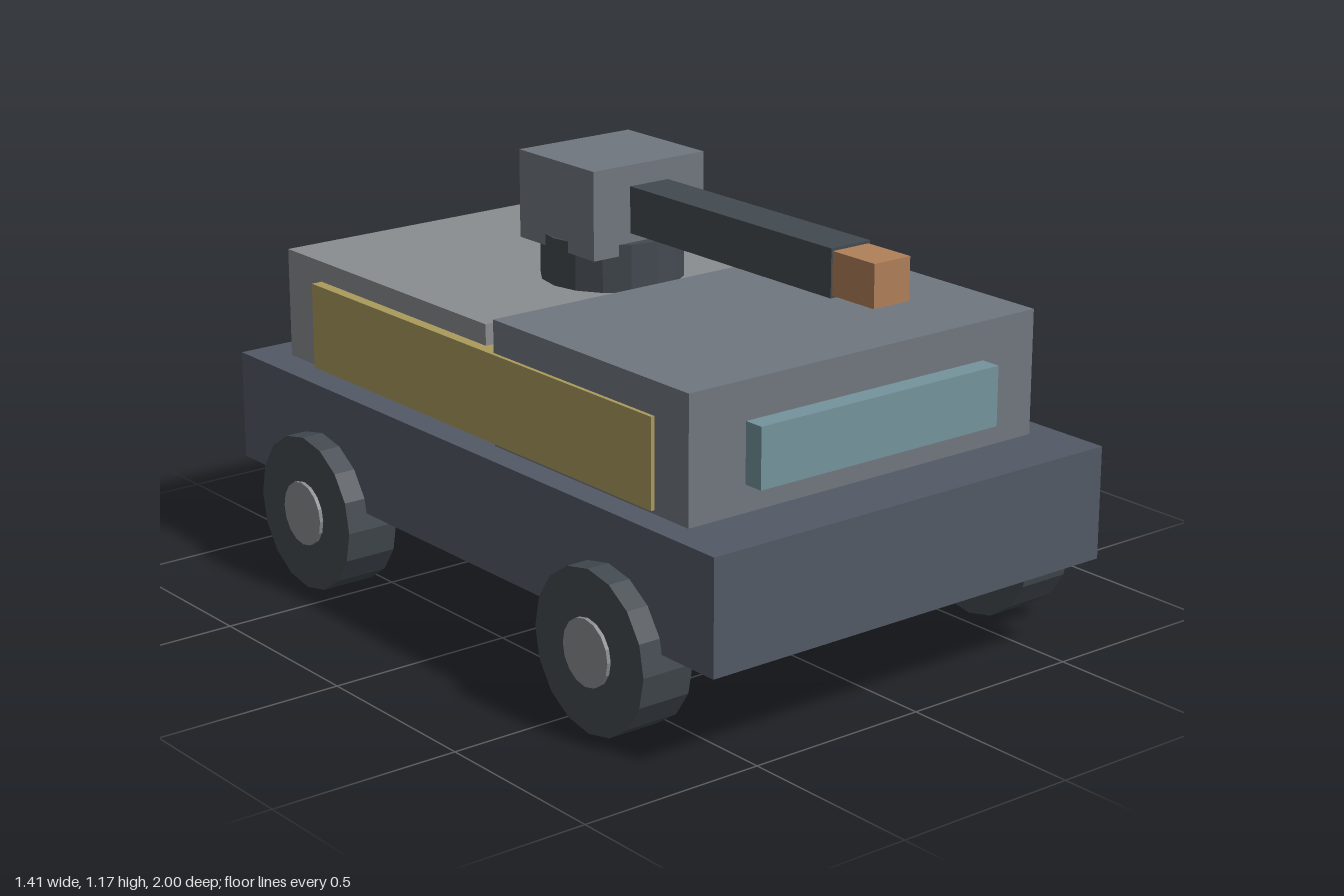
import * as THREE from 'three';

const mat = (color) => new THREE.MeshStandardMaterial({ color, flatShading: true });
const hull = mat(0x535a65), plate = mat(0x70777e), light = mat(0x8a8d8f), dark = mat(0x434a50);
const ochre = mat(0xaa9a5c), glass = mat(0x75949d), copper = mat(0xb08058);

export function createModel() {
  const model = new THREE.Group();
  model.name = 'armouredCar';

  // Body parts share one centre line, a touch right of the axles' middle
  const body = new THREE.Group();
  body.name = 'body';
  body.position.x = -0.0125;
  model.add(body);

  // Box given by width, y range and z range
  const box = (name, material, width, [y0, y1], [z0, z1], x = 0) => {
    const mesh = new THREE.Mesh(new THREE.BoxGeometry(width, y1 - y0, z1 - z0), material);
    mesh.name = name;
    mesh.position.set(x, (y0 + y1) / 2, (z0 + z1) / 2);
    body.add(mesh);
  };

  box('chassis', hull, 1.24, [0.25, 0.545], [-1, 1]);
  box('cabin', plate, 1.095, [0.545, 0.87], [0.065, 0.82]);
  box('rearCompartment', light, 1.055, [0.545, 0.84], [-0.895, 0.005]);
  box('windshield', glass, 0.755, [0.615, 0.77], [0.8, 0.875]);
  for (const side of [-1, 1]) {
    box(side > 0 ? 'leftSidePanel' : 'rightSidePanel', ochre, 0.06, [0.555, 0.785], [-0.735, 0.695], side * 0.528);
  }

  // Turret with its gun
  const ring = new THREE.Mesh(new THREE.CylinderGeometry(0.187, 0.187, 0.135, 16), dark);
  ring.name = 'turretRing';
  ring.position.set(0, 0.8975, -0.168);
  body.add(ring);
  box('turret', plate, 0.355, [0.935, 1.167], [-0.325, -0.013]);
  box('gunBarrel', dark, 0.122, [0.99, 1.112], [-0.05, 0.75]);
  box('muzzle', copper, 0.112, [0.996, 1.105], [0.72, 0.895]);

  // Four wheels with hubs
  const tyreGeo = new THREE.CylinderGeometry(0.2085, 0.2085, 0.146, 16).rotateZ(Math.PI / 2);
  const hubGeo = new THREE.CylinderGeometry(0.086, 0.086, 0.166, 16).rotateZ(Math.PI / 2);
  for (const x of [-0.62, 0.62]) {
    for (const z of [-0.61, 0.613]) {
      const wheel = new THREE.Group();
      wheel.name = (z > 0 ? 'front' : 'rear') + (x > 0 ? 'Left' : 'Right') + 'Wheel';
      const tyre = new THREE.Mesh(tyreGeo, dark);
      tyre.name = 'tyre';
      const hub = new THREE.Mesh(hubGeo, light);
      hub.name = 'hub';
      wheel.add(tyre, hub);
      wheel.position.set(x, 0.2085, z);
      model.add(wheel);
    }
  }
  return model;
}
